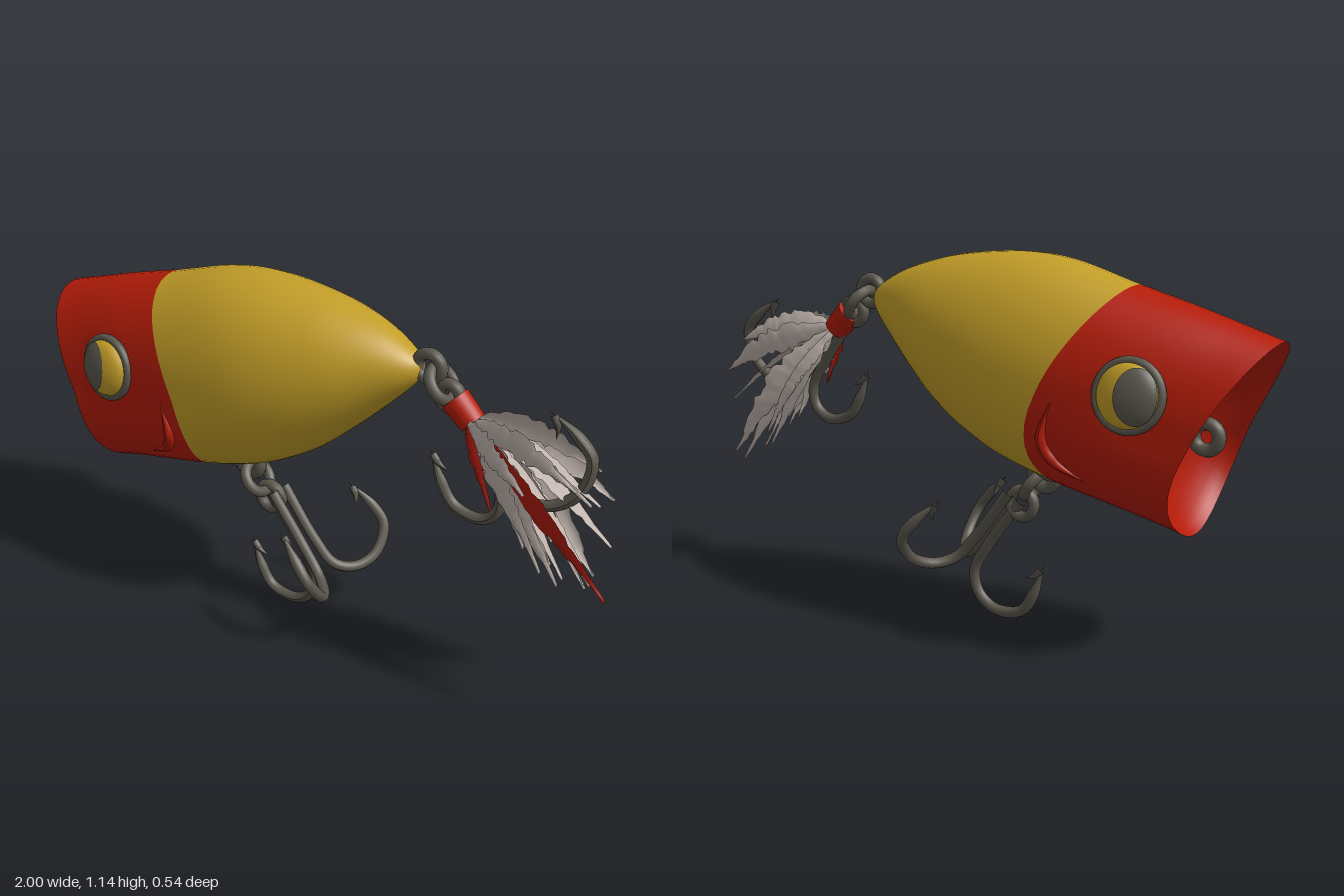
import * as THREE from 'three';

const V = (x, y, z = 0) => new THREE.Vector3(x, y, z);
const mat = (name, color, side = THREE.FrontSide) => {
  const m = new THREE.MeshStandardMaterial({ color, side });
  m.name = name;
  return m;
};

// Body stations: top x,y / bottom x,y / half width / sideways bulge along x
const STATIONS = [
  [-1.0, 0.935, -0.765, 0.37, 0.212, 0.055],
  [-0.9, 0.965, -0.69, 0.39, 0.214, 0.06],
  [-0.75, 1.01, -0.57, 0.42, 0.232, 0.08],
  [-0.565, 1.06, -0.37, 0.465, 0.246, 0.088],
  [-0.35, 1.122, -0.2, 0.515, 0.245, 0.08],
  [-0.18, 1.137, -0.08, 0.57, 0.23, 0.06],
  [0.0, 1.122, 0.03, 0.64, 0.2, 0.03],
  [0.12, 1.097, 0.14, 0.735, 0.162, 0.01],
  [0.22, 1.065, 0.23, 0.82, 0.115, 0],
  [0.3, 1.025, 0.3, 0.89, 0.068, 0],
  [0.34, 0.995, 0.34, 0.935, 0.03, 0],
  [0.352, 0.966, 0.352, 0.964, 0.001, 0],
];
const LAST = STATIONS.length - 1;
const SIDES = 48;
const curveOf = (fn) => new THREE.CatmullRomCurve3(STATIONS.map(fn), false, 'catmullrom');
const topCurve = curveOf((s) => V(s[0], s[1]));
const lowCurve = curveOf((s) => V(s[2], s[3]));
const sizeCurve = curveOf((s) => V(s[4], s[5]));

// Point on the body at a station and an angle from the top, k shrinks the ring
function surf(station, angle, k = 1) {
  const t = station / LAST;
  const a = topCurve.getPoint(t), b = lowCurve.getPoint(t), s = sizeCurve.getPoint(t);
  const sin = Math.sin(angle), cos = Math.cos(angle);
  // the jaw is fuller than an ellipse towards the front
  const jaw = 1 + 0.3 * Math.max(0, -cos) * THREE.MathUtils.clamp((5 - station) / 4, 0, 1) * sin * sin;
  const p = a.clone().add(b).multiplyScalar(0.5);
  p.addScaledVector(a.sub(b), 0.5 * k * cos);
  p.x += s.y * sin * sin * (1 - 0.35 * cos) * k * k;
  p.z = s.x * sin * k * jaw;
  return p;
}

// Skin a list of closed rings
function loft(rings, inward = false) {
  const pos = [], idx = [];
  rings.forEach((r) => r.forEach((p) => pos.push(p.x, p.y, p.z)));
  for (let i = 0; i < rings.length - 1; i++) {
    for (let j = 0; j < SIDES; j++) {
      const a = i * SIDES + j, b = i * SIDES + ((j + 1) % SIDES), c = a + SIDES, d = b + SIDES;
      if (inward) idx.push(a, c, b, b, c, d);
      else idx.push(a, b, c, b, d, c);
    }
  }
  const g = new THREE.BufferGeometry();
  g.setAttribute('position', new THREE.Float32BufferAttribute(pos, 3));
  g.setIndex(idx);
  g.computeVertexNormals();
  return g;
}
const ring = (fn) => Array.from({ length: SIDES }, (_, j) => fn((j / SIDES) * Math.PI * 2));

// Tube that narrows from `start` (0..1) to a point at its end
function taperTube(points, radius, start, bothEnds = false) {
  const n = 48, m = 10;
  const path = new THREE.CatmullRomCurve3(points);
  const g = new THREE.TubeGeometry(path, n, radius, m, false);
  const p = g.attributes.position, v = V(0, 0);
  for (let i = 0; i <= n; i++) {
    const t = i / n, c = path.getPointAt(t);
    let k = t > start ? (1 - t) / (1 - start) : 1;
    if (bothEnds) k = Math.min(k, t / (1 - start));
    for (let j = 0; j <= m; j++) {
      const q = i * (m + 1) + j;
      v.fromBufferAttribute(p, q).sub(c).multiplyScalar(Math.max(k, 0.02)).add(c);
      p.setXYZ(q, v.x, v.y, v.z);
    }
  }
  g.computeVertexNormals();
  return g;
}

export function createModel() {
  const model = new THREE.Group();
  const red = mat('red paint', 0xb41c08);
  const gold = mat('gold paint', 0xc29d28);
  const steel = mat('dark steel', 0x5a564c);
  const white = mat('pale feather', 0xc0b3ac, THREE.DoubleSide);
  const redFeather = mat('red feather', 0xb01c0c, THREE.DoubleSide);
  const add = (parent, name, geo, material) => {
    const m = new THREE.Mesh(geo, material);
    m.name = name;
    parent.add(m);
    return m;
  };

  // Body, red head and gold rear sharing one smooth skin
  const STEP = 6;
  const rings = [];
  for (let i = 0; i <= LAST * STEP; i++) rings.push(ring((a) => surf(i / STEP, a)));
  const bodyGeo = loft(rings);
  const split = 3 * STEP * SIDES * 6;
  bodyGeo.addGroup(0, split, 0);
  bodyGeo.addGroup(split, bodyGeo.index.count - split, 1);
  add(model, 'body', bodyGeo, [red, gold]);

  // Hollow mouth
  const cup = [1, 0.97, 0.9, 0.75, 0.55, 0.3, 0.01].map((k) => ring((a) => {
    const p = surf(0, a, k), depth = 0.19 * Math.pow(1 - k * k, 0.7);
    return p.add(V(depth * 0.95, depth * 0.3));
  }));
  add(model, 'mouthCup', loft(cup, true), red);

  // Eye and gill ridge, mirrored to the other side
  const side = new THREE.Group();
  side.name = 'leftFace';
  const eye = new THREE.Group();
  eye.name = 'eye';
  eye.position.set(-0.66, 0.79, 0.22);
  eye.rotation.set(-0.14, -0.1, 0);
  const R = 0.096, H = 0.044;
  add(eye, 'eyeRim', new THREE.TorusGeometry(0.093, 0.014, 12, 40), steel);
  const domePatch = (rx, ry, dx, lift) => {
    const g = new THREE.RingGeometry(0, 1, 36, 8).scale(rx, ry, 1).translate(dx, 0, 0);
    const p = g.attributes.position;
    for (let i = 0; i < p.count; i++) {
      const r2 = (p.getX(i) ** 2 + p.getY(i) ** 2) / (R * R);
      p.setZ(i, H * Math.sqrt(Math.max(0, 1 - r2)) + lift);
    }
    g.computeVertexNormals();
    return g;
  };
  add(eye, 'iris', domePatch(R, R, 0, 0), gold);
  add(eye, 'pupil', domePatch(0.058, 0.078, -0.031, 0.004), steel);
  side.add(eye);
  const gill = [[2.75, 1.55], [2.72, 1.95], [2.55, 2.15], [2.15, 2.3]].map(([s, a]) => surf(s, a));
  add(side, 'gillRidge', taperTube(gill, 0.018, 0.6, true), red);
  model.add(side);
  const other = side.clone();
  other.name = 'rightFace';
  other.scale.z = -1;
  model.add(other);

  // Wire rings; `across` turns a ring to stand across the body
  const link = (name, x, y, z, r, across = false, tube = 0.018) => {
    const m = add(model, name, new THREE.TorusGeometry(r, tube, 10, 28), steel);
    m.position.set(x, y, z);
    if (across) m.quaternion.setFromUnitVectors(V(0, 0, 1), V(0.8, 0.6));
  };
  link('mouthEyelet', -0.79, 0.655, 0, 0.038, false, 0.02);
  link('bellyEyelet', -0.275, 0.475, 0, 0.038, false, 0.021);
  link('bellySplitRing', -0.235, 0.44, 0.015, 0.05, true);
  link('bellyHookEye', -0.195, 0.375, 0, 0.042);
  link('tailEyelet', 0.372, 0.985, 0, 0.04);
  link('tailSplitRing', 0.415, 0.945, 0, 0.05, true);
  link('tailHookEye', 0.44, 0.915, 0, 0.036);
  const washer = add(model, 'bellyWasher', new THREE.CylinderGeometry(0.05, 0.05, 0.02, 24), steel);
  washer.position.set(-0.3, 0.487, 0);
  washer.rotation.z = 0.29;

  // Hooks: u runs down the shank, v runs out to the point
  const HOOK = [[0, 0], [0.2, 0], [0.3, 0.015], [0.345, 0.07], [0.342, 0.145], [0.275, 0.212], [0.2, 0.21], [0.1, 0.18]];
  const down = V(0.6, -0.8), out = V(-0.8, -0.6);
  function hook(name, base, dir) {
    const at = ([u, v]) => base.clone().addScaledVector(down, u).addScaledVector(dir, v);
    const g = new THREE.Group();
    g.name = name;
    add(g, 'hookWire', taperTube(HOOK.map(at), 0.0175, 0.86), steel);
    add(g, 'barb', taperTube([[0.115, 0.184], [0.15, 0.178], [0.18, 0.158]].map(at), 0.012, 0.3), steel);
    model.add(g);
  }
  const belly = V(-0.19, 0.38);
  hook('bellyHookFront', belly, out);
  for (const s of [1, -1]) {
    hook('bellyHookSide', belly.clone().add(V(0.025, 0.032, 0.03 * s)), out.clone().multiplyScalar(-0.6).setZ(0.86 * s));
  }
  const tail = V(0.45, 0.9);
  hook('tailHookLower', tail, out.clone().multiplyScalar(0.85));
  hook('tailHookUpper', tail.clone().add(V(0.05, -0.01)), out.clone().multiplyScalar(-1.2).setZ(-0.18));

  // Red thread wrap
  const wrapDir = V(0.72, -0.69).normalize();
  const wrap = add(model, 'threadWrap', new THREE.CylinderGeometry(0.045, 0.04, 0.085, 24), red);
  wrap.position.set(0.488, 0.882, 0);
  wrap.quaternion.setFromUnitVectors(V(0, 1, 0), wrapDir.clone().negate());

  // Feathers: serrated, slightly arched blades; roll turns the blade about its quill
  let seed = 7;
  const rnd = () => (seed = (seed * 16807) % 2147483647) / 2147483647;
  function feather(name, tip, width, roll, material) {
    const g = new THREE.PlaneGeometry(1, 1, 30, 2), p = g.attributes.position;
    const base = V(0.505, 0.865, tip.z * 0.15);
    const along = tip.clone().sub(base).normalize();
    const across = V(0, 0, 1).cross(along).normalize().applyAxisAngle(along, roll);
    for (let i = 0; i < p.count; i++) {
      const t = p.getX(i) + 0.5, s = p.getY(i) * 2;
      const jag = s === 0 ? 0 : 0.65 + 0.5 * rnd();
      const c = base.clone().lerp(tip, t);
      c.addScaledVector(across, s * width * jag * Math.sin(Math.PI * Math.pow(t, 0.8)));
      c.y += 0.03 * Math.sin(Math.PI * t);
      c.z += tip.z * 0.35 * Math.sin(Math.PI * t) + 0.012 * (1 - s * s) * Math.sign(tip.z);
      p.setXYZ(i, c.x, c.y, c.z);
    }
    g.computeVertexNormals();
    add(model, name, g, material);
  }
  // Pale blades in an upper and a lower fan: tip x, y, z, roll
  const tips = [
    [0.89, 0.79, -0.05, 0.2], [0.91, 0.73, 0.03, 0.4], [0.92, 0.69, -0.09, -0.3], [0.87, 0.77, 0.05, 0.1],
    [0.91, 0.7, -0.02, 1.4], [0.74, 0.74, 0.1, 0.2], [0.92, 0.47, 0.01, 0.9], [0.87, 0.39, -0.07, 0.3],
    [0.82, 0.43, -0.02, 1.35], [0.77, 0.45, -0.04, 0.4], [0.88, 0.42, -0.1, -0.4], [0.84, 0.46, 0.05, 0.2],
    [0.79, 0.49, 0.06, 0.3], [0.75, 0.5, -0.08, 0.3], [0.88, 0.45, -0.05, 1.4], [0.72, 0.53, 0.03, 0.2],
    [0.95, 0.58, -0.03, 1.5],
  ];
  tips.forEach(([x, y, z, roll]) => feather('paleFeather', V(x, y, z), 0.044, roll, white));
  feather('redFeatherLong', V(0.995, 0.485, 0.08), 0.055, 0.45, redFeather);
  feather('redFeatherShort', V(0.635, 0.65, 0.08), 0.026, 0.3, redFeather);
  return model;
}
